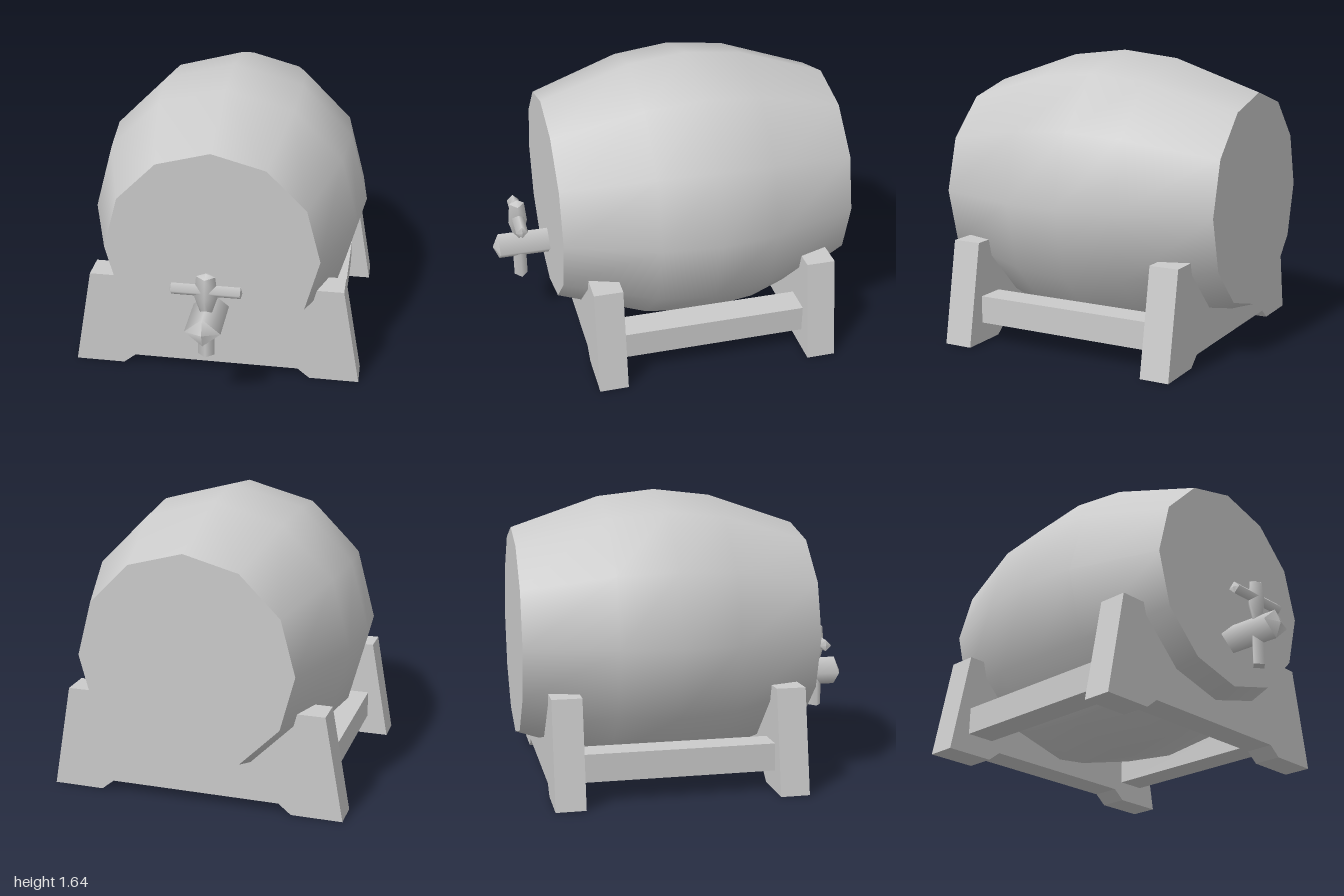
import * as THREE from 'three';
import { mergeGeometries } from 'three/addons/utils/BufferGeometryUtils.js';

const material = new THREE.MeshStandardMaterial({ color: 0xcccccc });

function addMesh(parent, name, geometry) {
  const mesh = new THREE.Mesh(geometry, material);
  mesh.name = name;
  parent.add(mesh);
  return mesh;
}

// Turned solid from [radius, height] points; each profile is smooth, with hard edges between profiles.
function turned(sides, ...profiles) {
  return mergeGeometries(profiles.map(p =>
    new THREE.LatheGeometry(p.map(([r, y]) => new THREE.Vector2(r, y)), sides)));
}

export function createModel() {
  const model = new THREE.Group();
  model.name = 'barrelOnStand';

  // Barrel lying along z, with flat ends
  const barrel = turned(12,
    [[0, -1], [0.6, -1]],
    [[0.6, -1], [0.77, -0.5], [0.807, -0.17], [0.77, 0.16], [0.6, 0.67]],
    [[0.6, 0.67], [0, 0.67]]);
  addMesh(model, 'barrel', barrel.rotateX(Math.PI / 2)).position.y = 0.838;

  // Stand: two cradles cut to the barrel's outline, joined by two rails
  const stand = new THREE.Group();
  stand.name = 'stand';
  model.add(stand);

  const half = [[0.48, 0.057], [0.55, 0], [0.835, 0], [0.73, 0.585],
    [0.577, 0.585], [0.559, 0.516], [0.322, 0.28]];
  const outline = [...half, [0, 0.194], ...half.map(([x, y]) => [-x, y]).reverse()];
  const cradleShape = new THREE.Shape(outline.map(([x, y]) => new THREE.Vector2(x, y)));
  for (const [name, z] of [['frontCradle', 0.372], ['backCradle', -0.867]]) {
    const cradle = new THREE.ExtrudeGeometry(cradleShape, { depth: 0.165, bevelEnabled: false });
    addMesh(stand, name, cradle).position.z = z;
  }
  for (const [name, side] of [['leftRail', 1], ['rightRail', -1]]) {
    addMesh(stand, name, new THREE.BoxGeometry(0.17, 0.155, 1.09))
      .position.set(side * 0.625, 0.193, -0.165);
  }

  // Tap: diamond-section pipe, spout, handle and crossbar
  const tap = new THREE.Group();
  tap.name = 'tap';
  model.add(tap);

  const pipe = turned(4,
    [[0.1, 0.62], [0.1, 0.965]],
    [[0.1, 0.965], [0, 1]]);
  addMesh(tap, 'pipe', pipe.rotateX(Math.PI / 2).scale(1, 0.84, 1)).position.y = 0.518;

  const spout = turned(4,
    [[0, 0.308], [0.047, 0.308]],
    [[0.047, 0.308], [0.047, 0.52]]);
  addMesh(tap, 'spout', spout.scale(1, 1, 0.84)).position.z = 0.842;

  const handle = turned(4,
    [[0.025, 0.55], [0.066, 0.675], [0.052, 0.795]],
    [[0.052, 0.795], [0, 0.815]]);
  addMesh(tap, 'handle', handle.scale(1, 1, 0.84)).position.z = 0.842;

  const crossbar = turned(4,
    [[0, -0.2], [0.035, -0.19]],
    [[0.035, -0.19], [0.035, 0.19]],
    [[0.035, 0.19], [0, 0.2]]);
  addMesh(tap, 'crossbar', crossbar.rotateZ(-Math.PI / 2)).position.set(0, 0.71, 0.842);

  return model;
}
